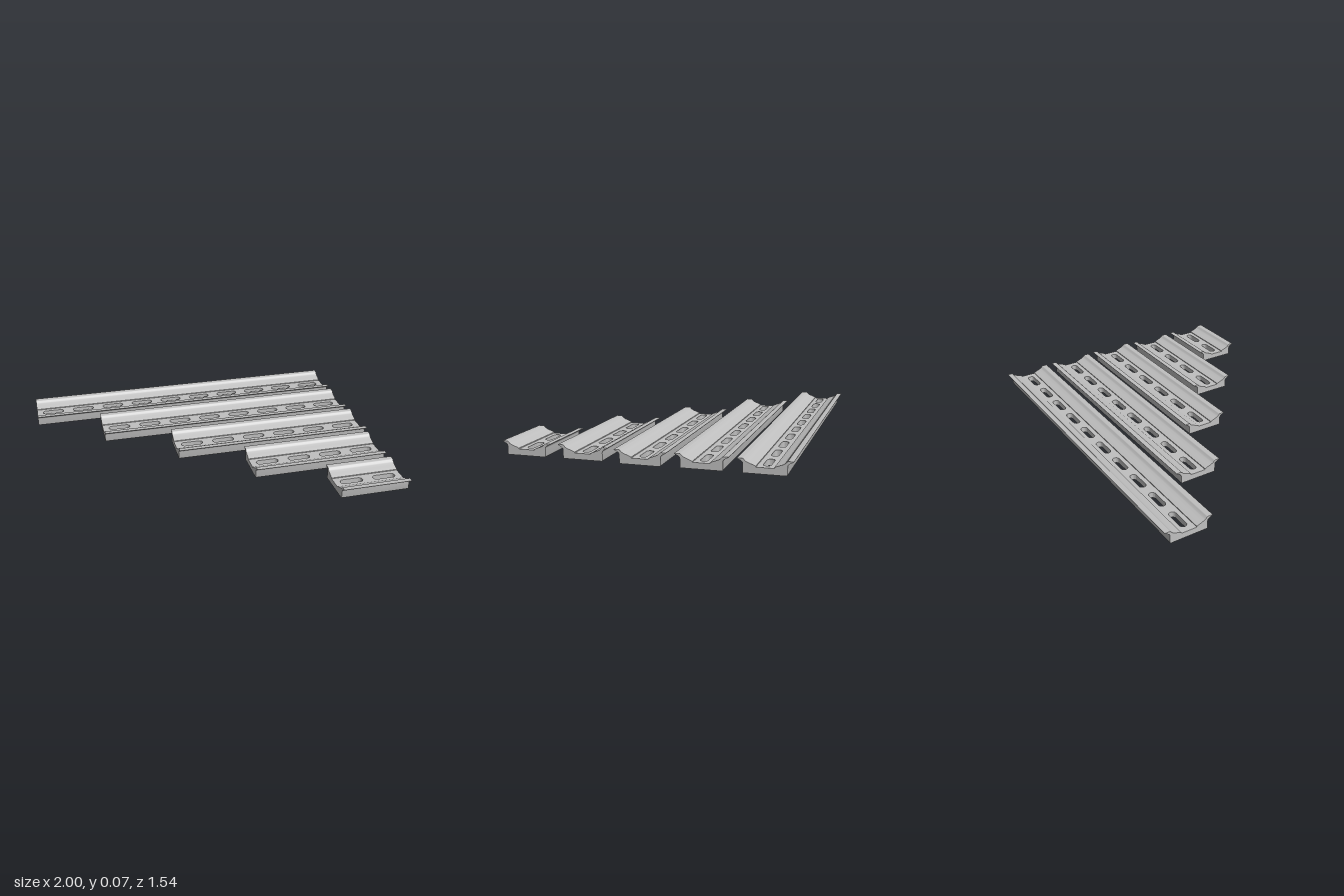
import * as THREE from 'three';
import { toCreasedNormals } from 'three/addons/utils/BufferGeometryUtils.js';

const FLOOR_HALF = 0.045, FLOOR_TOP = 0.033;
const SLOT_PITCH = 0.198, SLOT_HALF = 0.067, SLOT_RADIUS = 0.02;

// Half cross-section: wall rising from the floor edge to a thin flared lip
function wingShape(side) {
  const s = new THREE.Shape();
  s.moveTo(side * FLOOR_HALF, 0);
  s.lineTo(side * 0.103, 0);
  s.quadraticCurveTo(side * 0.109, 0, side * 0.109, 0.006);
  s.lineTo(side * 0.109, 0.046);
  s.bezierCurveTo(side * 0.11, 0.058, side * 0.122, 0.062, side * 0.134, 0.067);
  s.quadraticCurveTo(side * 0.139, 0.069, side * 0.138, 0.072);
  s.lineTo(side * 0.114, 0.072);
  s.bezierCurveTo(side * 0.103, 0.072, side * 0.104, 0.064, side * 0.094, 0.058);
  s.bezierCurveTo(side * 0.082, 0.051, side * 0.062, 0.046, side * 0.048, 0.039);
  s.lineTo(side * FLOOR_HALF, 0.038);
  s.closePath();
  return s;
}

// Long slot with round ends
function slotPath(cx) {
  const p = new THREE.Path();
  const d = SLOT_HALF - SLOT_RADIUS;
  p.absarc(cx + d, 0, SLOT_RADIUS, -Math.PI / 2, Math.PI / 2, false);
  p.absarc(cx - d, 0, SLOT_RADIUS, Math.PI / 2, Math.PI * 1.5, false);
  p.closePath();
  return p;
}

function createRail(length, slots, material) {
  const rail = new THREE.Group();

  // Slotted floor
  const plate = new THREE.Shape();
  const h = length / 2;
  plate.moveTo(-h, -FLOOR_HALF);
  plate.lineTo(h, -FLOOR_HALF);
  plate.lineTo(h, FLOOR_HALF);
  plate.lineTo(-h, FLOOR_HALF);
  plate.closePath();
  for (let i = 0; i < slots; i++) {
    plate.holes.push(slotPath((i - (slots - 1) / 2) * SLOT_PITCH));
  }
  const floorGeo = new THREE.ExtrudeGeometry(plate, { depth: FLOOR_TOP, bevelEnabled: false, curveSegments: 10 });
  floorGeo.rotateX(-Math.PI / 2);
  const floor = new THREE.Mesh(toCreasedNormals(floorGeo, 0.6), material);
  floor.name = 'slottedFloor';
  rail.add(floor);

  // Mirrored curved walls
  for (const side of [-1, 1]) {
    const geo = new THREE.ExtrudeGeometry(wingShape(side), { depth: length, bevelEnabled: false, curveSegments: 8 });
    geo.translate(0, 0, -h);
    geo.rotateY(Math.PI / 2);
    const wall = new THREE.Mesh(toCreasedNormals(geo, 0.6), material);
    wall.name = side < 0 ? 'frontWall' : 'backWall';
    rail.add(wall);
  }
  return rail;
}

export function createModel() {
  const model = new THREE.Group();
  model.name = 'slottedRails';
  const steel = new THREE.MeshStandardMaterial({ color: 0xc0c0c0 });
  steel.name = 'steelGrey';

  // Five rails, longest at the back: [left end x, right end x, slot count]
  const rails = [
    [-1, 0.991, 10],
    [-0.605, 0.991, 8],
    [-0.2, 1, 6],
    [0.187, 0.986, 4],
    [0.588, 0.991, 2],
  ];
  rails.forEach(([x0, x1, slots], i) => {
    const rail = createRail(x1 - x0, slots, steel);
    rail.name = 'rail' + (i + 1);
    rail.position.set((x0 + x1) / 2, 0, (i - 2) * 0.316);
    model.add(rail);
  });
  return model;
}
